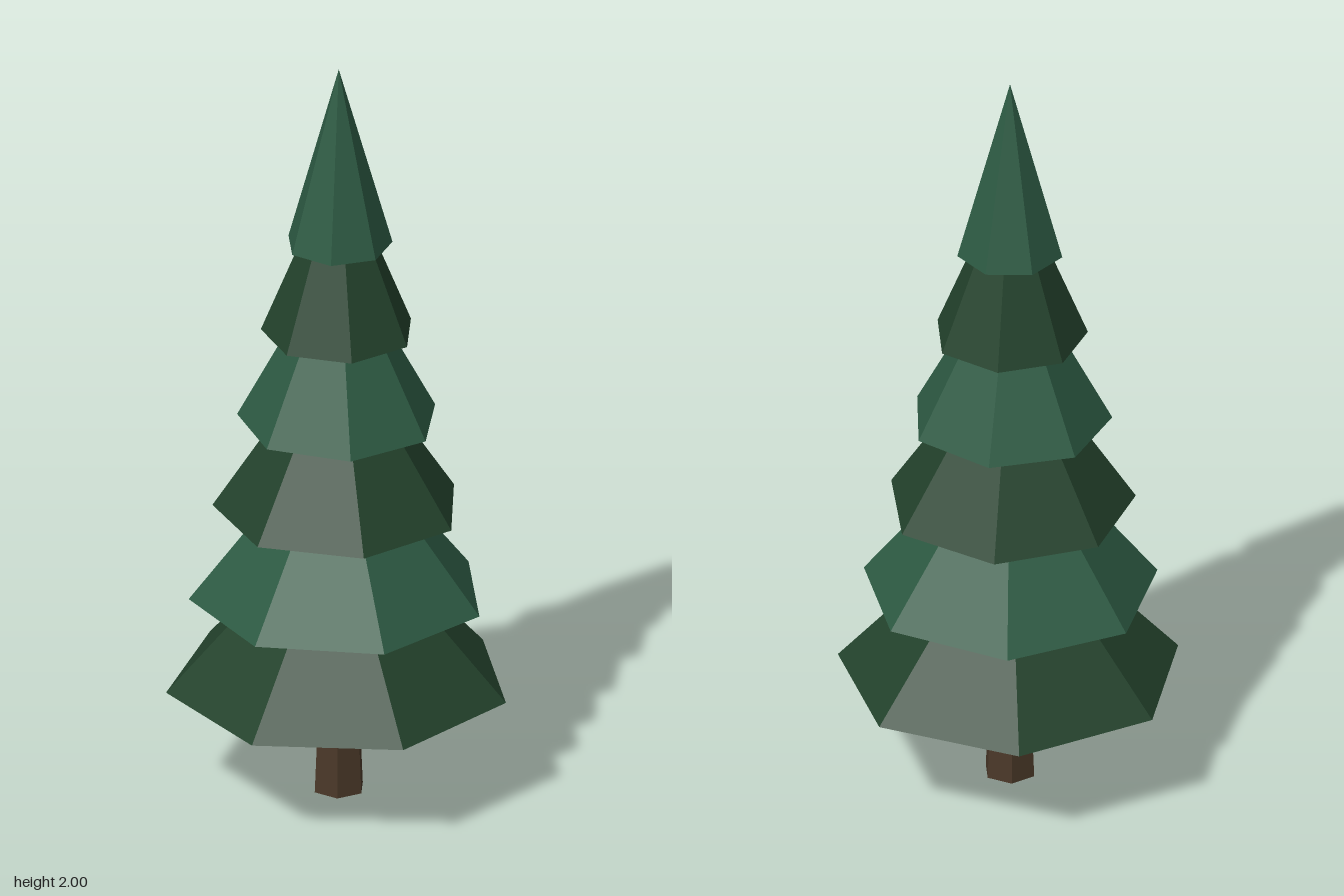
import * as THREE from 'three';

export function createModel() {
  const model = new THREE.Group();
  model.name = 'pineTree';
  const mat = (name, color) => {
    const m = new THREE.MeshStandardMaterial({ color, flatShading: true });
    m.name = name;
    return m;
  };
  const darkNeedles = mat('darkNeedles', 0x23422c);
  const lightNeedles = mat('lightNeedles', 0x2d5a43);
  const bark = mat('bark', 0x4a3828);

  const add = (name, geometry, material, y) => {
    const mesh = new THREE.Mesh(geometry, material);
    mesh.name = name;
    mesh.position.set(0.004, y, -0.017);
    model.add(mesh);
    return mesh;
  };

  // Six-sided tapered trunk, running up into the lowest tier
  const trunkHeight = 0.4;
  add('trunk', new THREE.CylinderGeometry(0.05, 0.068, trunkHeight, 6, 1, false, Math.PI / 2),
    bark, trunkHeight / 2);

  // Seven-sided foliage cones, shrinking upward, each with its own twist
  const twists = [0.058, -0.012, -0.12, -0.203, -0.153, 0.433];
  const tierHeight = 0.485;
  twists.forEach((twist, i) => {
    const radius = 0.441 - 0.061 * i;
    const base = 0.295 + 0.244 * i;
    add(`foliageTier${i + 1}`, new THREE.ConeGeometry(radius, tierHeight, 7, 1, false, twist),
      i % 2 ? lightNeedles : darkNeedles, base + tierHeight / 2);
  });

  return model;
}
